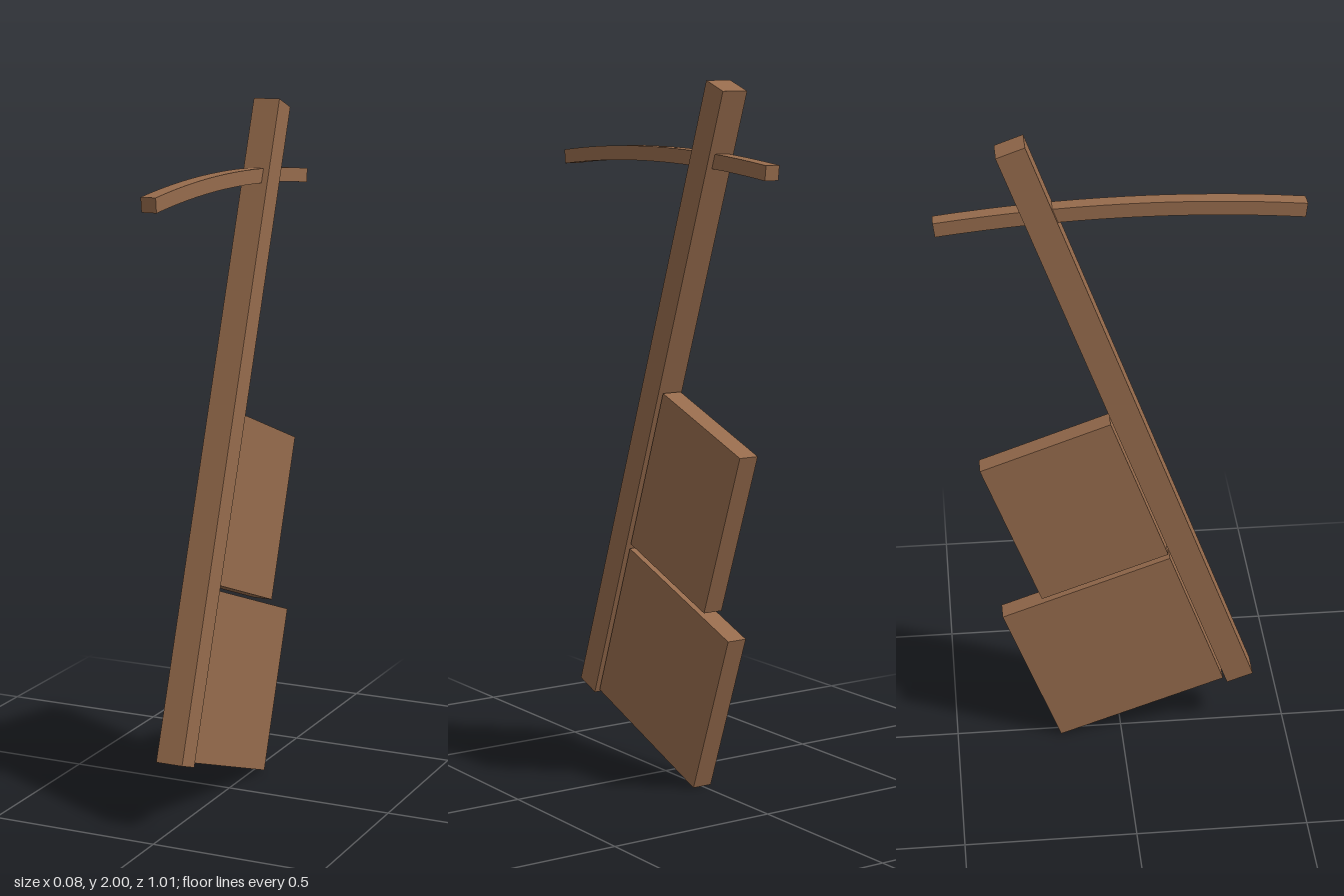
import * as THREE from 'three';

const wood = new THREE.MeshStandardMaterial({ color: 0x966b4c, flatShading: true });

// Box given by its lower front edge in the raked frame: bottom, front z, height, depth
function plank(name, width, bottom, front, height, depth) {
  const geo = new THREE.BoxGeometry(width, height, depth);
  geo.translate(0, bottom + height / 2, front - depth / 2);
  const mesh = new THREE.Mesh(geo, wood);
  mesh.name = name;
  return mesh;
}

// Gently arched bar of constant thickness, running front to back
function archedBar(name, width, thickness) {
  const curve = new THREE.QuadraticBezierCurve(
    new THREE.Vector2(0.502, 1.771),
    new THREE.Vector2(0.02, 1.822),
    new THREE.Vector2(-0.502, 1.76));
  const upper = [], lower = [];
  const steps = 16;
  for (let i = 0; i <= steps; i++) {
    const p = curve.getPoint(i / steps), t = curve.getTangent(i / steps);
    const n = new THREE.Vector2(t.y, -t.x).multiplyScalar(thickness / 2);
    upper.push(p.clone().add(n));
    lower.unshift(p.clone().sub(n));
  }
  const geo = new THREE.ExtrudeGeometry(new THREE.Shape([...upper, ...lower]), {
    depth: width, bevelEnabled: false,
  });
  geo.translate(0, 0, -width / 2);
  geo.rotateY(-Math.PI / 2);
  const mesh = new THREE.Mesh(geo, wood);
  mesh.name = name;
  return mesh;
}

export function createModel() {
  const model = new THREE.Group();
  model.name = 'rudder';

  // Post and blades share one raked frame
  const raked = new THREE.Group();
  raked.name = 'rakedAssembly';
  raked.position.set(0, 0.191, 0.36);
  raked.rotation.x = -THREE.MathUtils.degToRad(20);
  raked.add(
    plank('post', 0.08, 0, 0.0415, 1.911, 0.083),
    plank('lowerBlade', 0.06, 0.012, -0.049, 0.489, 0.527),
    plank('upperBlade', 0.06, 0.516, -0.049, 0.492, 0.397));
  model.add(raked);

  // Tiller passing through the post
  model.add(archedBar('tiller', 0.044, 0.041));
  return model;
}
